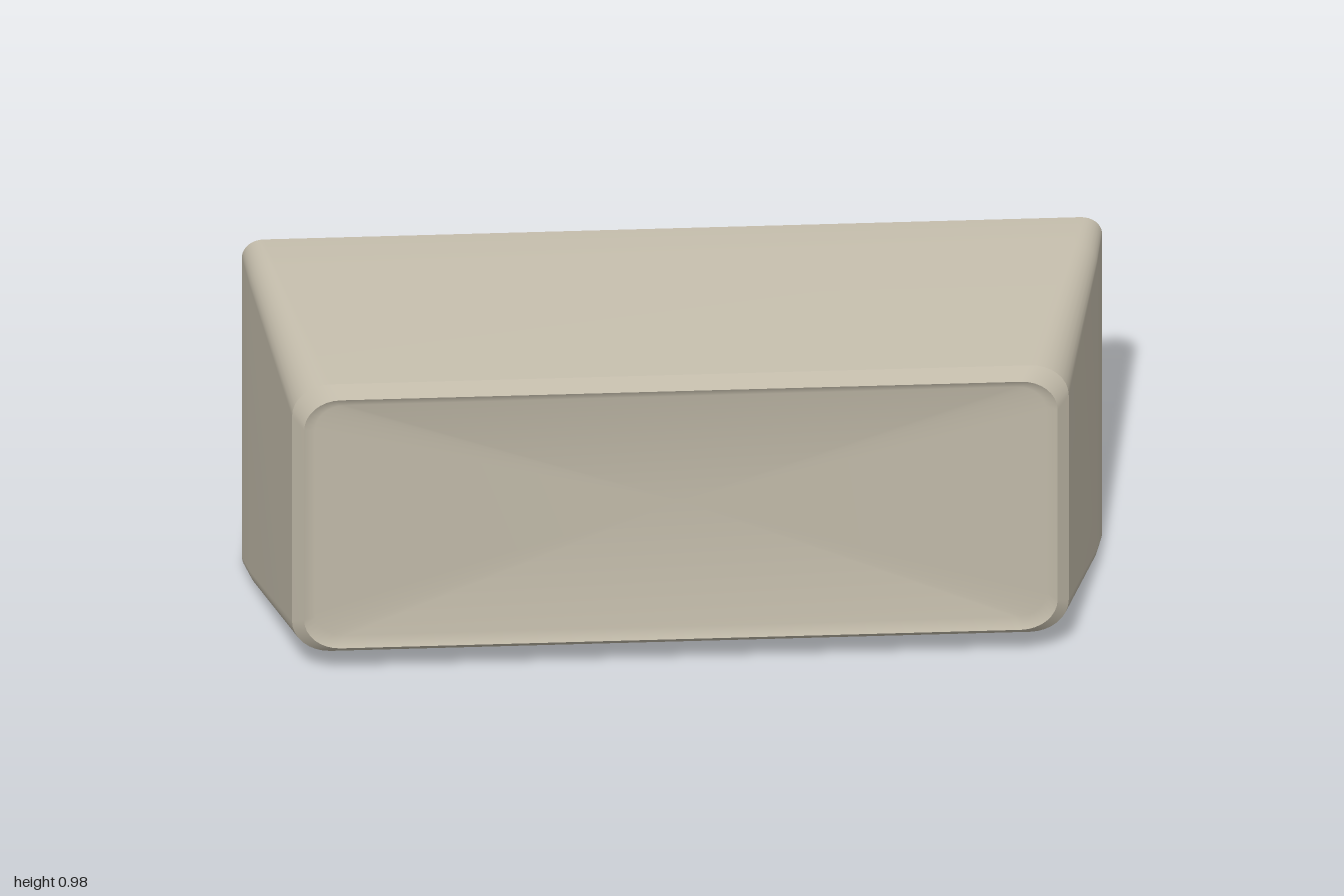
import * as THREE from 'three';

const CENTER_Y = 0.4875;
const CORNER_STEPS = 8;

// Rounded rectangle ring, counter-clockwise from the front
function ring([halfW, halfH, radius, z]) {
  const points = [];
  for (let c = 0; c < 4; c++) {
    const sx = c === 0 || c === 3 ? 1 : -1;
    const sy = c < 2 ? 1 : -1;
    for (let i = 0; i <= CORNER_STEPS; i++) {
      const a = (c + i / CORNER_STEPS) * Math.PI / 2;
      points.push([
        sx * (halfW - radius) + radius * Math.cos(a),
        CENTER_Y + sy * (halfH - radius) + radius * Math.sin(a),
        z
      ]);
    }
  }
  return points;
}

// Smooth skin through rings from back to front, optionally closed by a centre point
function loft(sections, centerZ) {
  const rings = sections.map(ring);
  const n = rings[0].length;
  const positions = rings.flat(2);
  const index = [];
  for (let r = 0; r < rings.length - 1; r++) {
    for (let i = 0; i < n; i++) {
      const j = (i + 1) % n;
      const a = r * n + i, b = r * n + j;
      index.push(a, b, b + n, a, b + n, a + n);
    }
  }
  if (centerZ !== undefined) {
    const last = (rings.length - 1) * n;
    const tip = positions.length / 3;
    positions.push(0, CENTER_Y, centerZ);
    for (let i = 0; i < n; i++) index.push(last + i, last + (i + 1) % n, tip);
  }
  const geometry = new THREE.BufferGeometry();
  geometry.setAttribute('position', new THREE.Float32BufferAttribute(positions, 3));
  geometry.setIndex(index);
  geometry.computeVertexNormals();
  return geometry;
}

export function createModel() {
  const group = new THREE.Group();
  group.name = 'keycap';
  const plastic = new THREE.MeshStandardMaterial({ color: 0xc0b9a8, side: THREE.DoubleSide });
  plastic.name = 'warm beige';

  const add = (name, geometry) => {
    const mesh = new THREE.Mesh(geometry, plastic);
    mesh.name = name;
    group.add(mesh);
  };

  // Section: half width, half height, corner radius, z
  const back = [1, 0.4875, 0.05, -0.23];
  const shoulder = [0.985, 0.475, 0.06, -0.145];
  const front = [0.903, 0.389, 0.09, 0.203];
  const rim = [0.876, 0.362, 0.085, 0.23];
  const dish = [0.85, 0.336, 0.07, 0.215];

  // Tapered walls, open at the back
  add('sideWalls', loft([back, shoulder, front]));
  // Bevel around the front
  add('frontBevel', loft([front, rim]));
  // Shallow dished front face
  add('dishedFace', loft([rim, dish], 0.175));

  return group;
}
